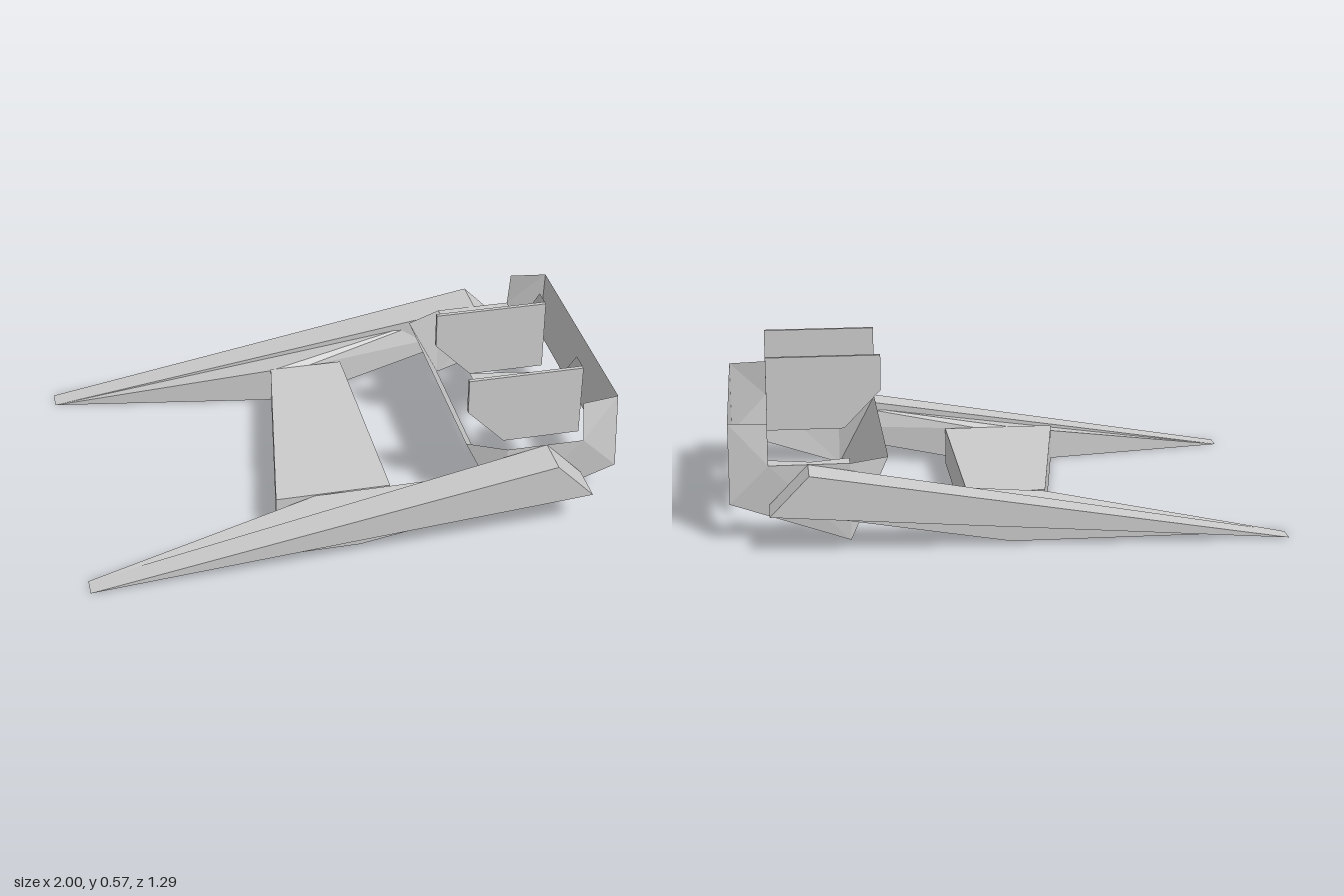
import * as THREE from 'three';
import { ConvexGeometry } from 'three/addons/geometries/ConvexGeometry.js';

const material = new THREE.MeshStandardMaterial({
  color: 0xcccccc, flatShading: true, side: THREE.DoubleSide,
});

const vec = ([x, y, z]) => new THREE.Vector3(x, y, z);

// Solid block wrapped around its corners
function solid(name, corners) {
  const mesh = new THREE.Mesh(new ConvexGeometry(corners.map(vec)), material);
  mesh.name = name;
  return mesh;
}

// Thin sheet made of one or more convex polygons
function sheet(name, polygons) {
  const points = [];
  for (const p of polygons) {
    for (let i = 1; i < p.length - 1; i++) points.push(vec(p[0]), vec(p[i]), vec(p[i + 1]));
  }
  const geometry = new THREE.BufferGeometry().setFromPoints(points);
  geometry.computeVertexNormals();
  const mesh = new THREE.Mesh(geometry, material);
  mesh.name = name;
  return mesh;
}

export function createModel() {
  const model = new THREE.Group();
  model.name = 'prongedCraft';

  for (const s of [1, -1]) {
    const side = s > 0 ? 'front' : 'rear';
    const at = (x, y, z) => [x, y, s * z];

    // Long pointed prong with a bevelled end
    model.add(solid(side + 'Prong', [0.5, 0.645].flatMap((z) => [
      at(-1, 0, Math.max(z, 0.575)), at(0.72, 0.29, z), at(0.86, 0.145, z),
    ])));

    // Upright-sided brace joining the prong to the cross slab
    model.add(solid(side + 'ProngBrace', [
      at(-1, 0, 0.575), at(0, 0, 0.57),
      at(-0.14, 0, 0.43), at(0, 0, 0.43),
      at(-0.14, 0.14, 0.43), at(0, 0.14, 0.43),
      at(0.6, 0.235, 0.55), at(0.6, 0.1, 0.55), at(0.86, 0.145, 0.57),
    ]));

    // Folded side wall of the open cabin
    model.add(sheet(side + 'CabinWall', [
      [at(0.43, 0.29, 0.43), at(0.57, 0.29, 0.5), at(0.57, 0, 0.49)],
      [at(0.57, 0.29, 0.5), at(0.86, 0.29, 0.5), at(0.57, 0, 0.49)],
      [at(0.86, 0.29, 0.5), at(1, 0.145, 0.48), at(0.57, 0, 0.49)],
      [at(0.86, 0.29, 0.5), at(0.86, 0.435, 0.47), at(1, 0.435, 0.45)],
      [at(0.86, 0.29, 0.5), at(1, 0.435, 0.45), at(1, 0.145, 0.48)],
    ]));
  }

  // Cross slab, wider towards the front
  model.add(solid('crossSlab', [0, 0.145].flatMap((y) => [
    [-0.285, y, 0.43], [0.145, y, 0.43], [-0.14, y, -0.43], [0.145, y, -0.43],
  ])));

  // Upright panel closing one end of the cabin
  model.add(sheet('endPanel', [[
    [1, 0.145, 0.48], [1, 0.145, -0.48], [1, 0.435, -0.45], [1, 0.435, 0.45],
  ]]));

  // Sloping panel at the other end, flaring towards its foot
  model.add(sheet('slopingPanel', [[
    [0.57, 0, 0.49], [0.57, 0, -0.49], [0.43, 0.29, -0.43], [0.43, 0.29, 0.43],
  ]]));

  // Flat ledges along the rear wall and beneath the middle screen
  model.add(sheet('rearLedge', [
    [[0.57, 0.29, -0.5], [0.57, 0.29, -0.43], [0.72, 0.29, -0.47]],
    [[0.57, 0.29, -0.5], [0.72, 0.29, -0.47], [0.86, 0.29, -0.43], [0.86, 0.29, -0.5]],
  ]));
  model.add(sheet('middleLedge', [[
    [0.57, 0.29, -0.02], [0.57, 0.29, 0.04], [0.72, 0.29, 0.04], [0.86, 0.29, 0.03], [0.72, 0.29, 0],
  ]]));

  // Two raised screens, each with a slanted cheek at one edge
  for (const z of [0.43, -0.03]) {
    const screen = new THREE.Group();
    screen.name = z > 0 ? 'frontScreen' : 'middleScreen';
    screen.add(solid('screenPanel', [0.01, -0.005].flatMap((d) => [
      [0.43, 0.57, z + d], [0.86, 0.57, z + d], [0.86, 0.29, z + d],
      [0.57, 0.29, z + d], [0.43, 0.435, z + d],
    ])));
    screen.add(sheet('screenCheek', [[
      [0.86, 0.57, z], [0.86, 0.57, z - 0.07], [0.86, 0.29, z - 0.31], [0.86, 0.29, z],
    ]]));
    model.add(screen);
  }

  return model;
}
